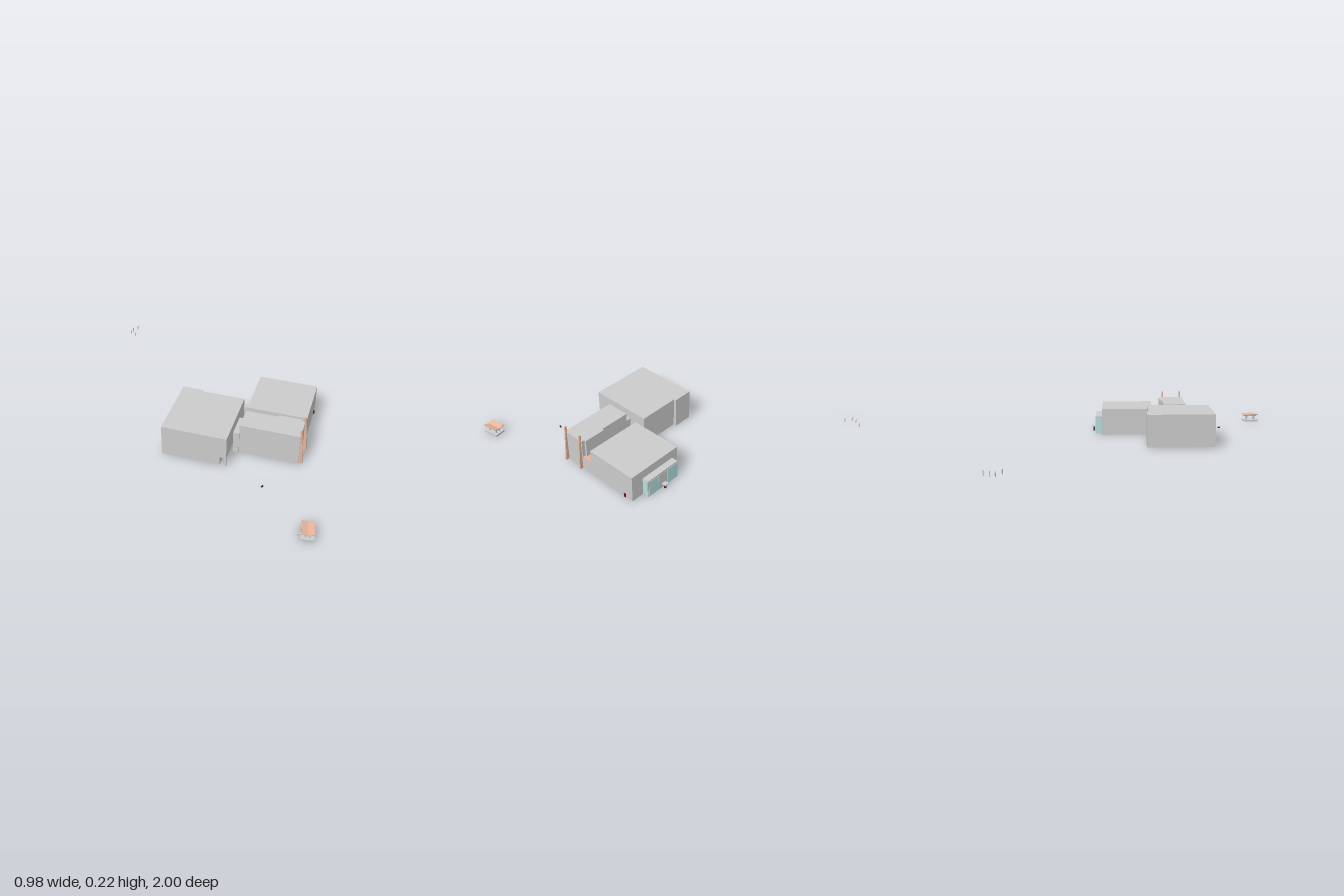
import * as THREE from 'three';

const paint = (color) => new THREE.MeshStandardMaterial({ color, side: THREE.DoubleSide });
const grey = paint(0xcccccc), clay = paint(0xe6b49c), glass = paint(0xb4e0e0);
const red = paint(0x7a0a14), dark = paint(0x333333);

function add(parent, name, geometry, material = grey) {
  const mesh = new THREE.Mesh(geometry, material);
  mesh.name = name;
  parent.add(mesh);
  return mesh;
}

// Box given by its limits on each axis
function box(parent, name, [x0, x1], [y0, y1], [z0, z1], material) {
  const geo = new THREE.BoxGeometry(x1 - x0, y1 - y0, z1 - z0);
  geo.translate((x0 + x1) / 2, (y0 + y1) / 2, (z0 + z1) / 2);
  return add(parent, name, geo, material);
}

// Hollow block: a box without its bottom face
function shell(parent, name, x, y, z, material) {
  const mesh = box(parent, name, x, y, z, material);
  const index = Array.from(mesh.geometry.index.array);
  index.splice(18, 6);
  mesh.geometry.setIndex(index);
  mesh.geometry.clearGroups();
  return mesh;
}

// Profile in (z, y) extruded along x
function prism(parent, name, points, x0, width, material) {
  const shape = new THREE.Shape(points.map(([z, y]) => new THREE.Vector2(-z, y)));
  const geo = new THREE.ExtrudeGeometry(shape, { depth: width, bevelEnabled: false });
  geo.rotateY(Math.PI / 2).scale(1, 1, 1).translate(x0, 0, 0);
  return add(parent, name, geo, material);
}

function rearBuilding(parent) {
  const g = new THREE.Group();
  g.name = 'rearBuilding';
  // Upper mass overhanging a porch at the front
  box(g, 'upperStorey', [-0.386, -0.012], [0.055, 0.187], [-0.145, 0.222]);
  box(g, 'sideProjection', [-0.012, 0.001], [0.055, 0.187], [-0.145, -0.027]);
  // Lower walls, open underneath
  shell(g, 'lowerWalls', [-0.386, -0.018], [0, 0.055], [-0.145, 0.185]);
  shell(g, 'lowerProjection', [-0.018, 0.001], [0, 0.055], [-0.145, -0.027]);
  box(g, 'porchPost', [-0.386, -0.377], [0, 0.055], [0.213, 0.222]);
  parent.add(g);
}

function frontBuilding(parent) {
  const g = new THREE.Group();
  g.name = 'frontBuilding';
  shell(g, 'mainHall', [-0.05, 0.265], [0, 0.16], [0.251, 0.591]);
  shell(g, 'tallWing', [-0.252, -0.115], [0, 0.187], [0.258, 0.591]);
  box(g, 'wingProjection', [-0.115, -0.102], [0.08, 0.187], [0.44, 0.572]);
  shell(g, 'connector', [-0.257, -0.12], [0, 0.135], [0.224, 0.258]);

  // Sunken terrace between the two masses
  shell(g, 'terraceWalls', [-0.115, -0.05], [0, 0.079], [0.251, 0.591]);
  box(g, 'terraceFloor', [-0.115, -0.05], [0.079, 0.081], [0.251, 0.591], clay);

  // Leaning fins on the front wall
  const fin = [[0.591, 0], [0.612, 0], [0.597, 0.225], [0.587, 0.225]];
  for (const x of [-0.246, -0.131]) prism(g, 'fin', fin, x, 0.009, clay);

  // Entrance bay with glass panes either side of the door
  shell(g, 'entranceBay', [0.265, 0.304], [0, 0.108], [0.29, 0.514]);
  for (const z of [0.296, 0.437]) box(g, 'glassPane', [0.303, 0.306], [0.004, 0.1], [z, z + 0.071], glass);
  for (const z of [0.513, 0.288]) box(g, 'sideGlass', [0.269, 0.302], [0.004, 0.102], [z, z + 0.003], glass);
  box(g, 'door', [0.303, 0.3055], [0.002, 0.095], [0.369, 0.435]);

  // Small stand at the door
  box(g, 'standTop', [0.306, 0.332], [0.027, 0.031], [0.387, 0.415]);
  box(g, 'standBase', [0.314, 0.324], [0, 0.027], [0.396, 0.406], dark);
  box(g, 'wallBox', [0.205, 0.216], [0, 0.021], [0.591, 0.597], red);
  parent.add(g);
}

// Little shelter with a valley roof on posts
function shelter(parent) {
  const g = new THREE.Group();
  g.name = 'shelter';
  g.position.set(-0.437, 0, 0.946);
  g.rotation.y = 0.53;
  box(g, 'shelterBase', [-0.046, 0.046], [0, 0.011], [-0.033, 0.033]);
  for (const x of [-0.03, 0.022])
    for (const z of [-0.014, 0.008]) box(g, 'shelterPost', [x, x + 0.007], [0.011, 0.038], [z, z + 0.007]);
  for (const side of [-1, 1]) {
    const under = [[0, 0.036], [0.033 * side, 0.046], [0.033 * side, 0.049], [0, 0.039]];
    const top = [[0, 0.039], [0.033 * side, 0.049], [0.033 * side, 0.051], [0, 0.041]];
    prism(g, 'roofUnderside', under, -0.046, 0.092);
    prism(g, 'roofSlope', top, -0.046, 0.092, clay);
  }
  box(g, 'rearStep', [-0.012, -0.004], [0, 0.011], [-0.05, -0.033]);
  parent.add(g);
}

export function createModel() {
  const model = new THREE.Group();
  model.name = 'buildings';

  // Both buildings share one turned axis
  const site = new THREE.Group();
  site.name = 'site';
  site.rotation.y = 0.358;
  rearBuilding(site);
  frontBuilding(site);
  model.add(site);

  shelter(model);
  box(model, 'groundBlock', [-0.307, -0.293], [0.004, 0.01], [0.585, 0.593], dark);

  // Distant bollards
  for (const [x, z] of [[0.41, -0.943], [0.42, -0.992], [0.447, -0.997], [0.486, -0.99]]) {
    const post = add(model, 'bollard', new THREE.CylinderGeometry(0.003, 0.003, 0.026, 8));
    post.position.set(x, 0.013, z);
  }
  return model;
}
